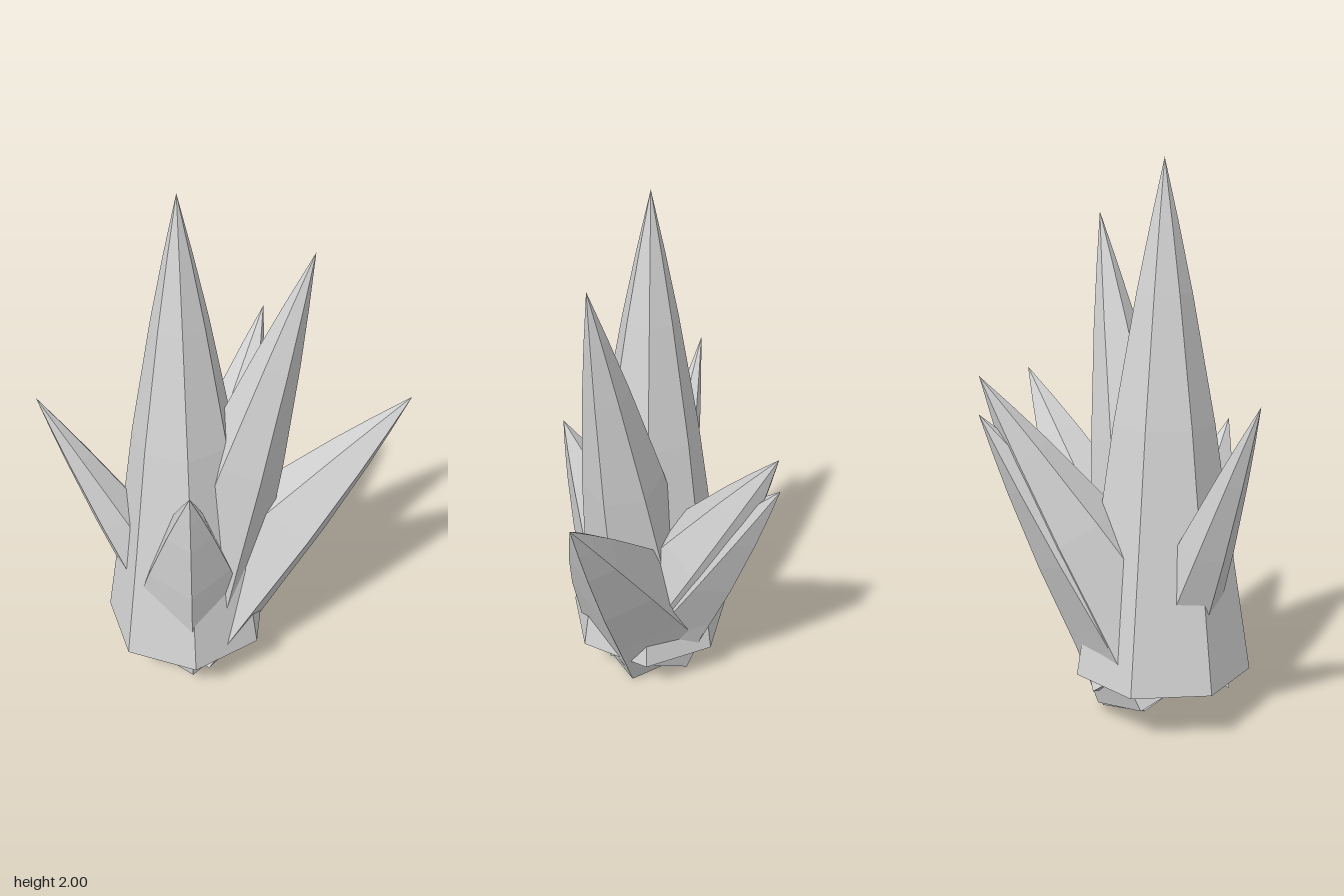
import * as THREE from 'three';

// Radius along a crystal: [fraction of length, fraction of base radius]
const PROFILE = [[0, 0], [0, 1], [0.25, 0.78], [0.5, 0.57], [0.75, 0.31], [0.88, 0.155], [1, 0]];
const ROOT = new THREE.Vector3(-0.137, 0.177, -0.07);

// Faceted spike growing from the shared root; one edge faces the lean direction
function crystal(name, tip, radius, sides, material, facing) {
  const axis = new THREE.Vector3(...tip).sub(ROOT);
  const length = axis.length();
  axis.normalize();
  const lean = facing ? new THREE.Vector3(...facing) : new THREE.Vector3(axis.x, 0, axis.z);
  const out = lean.addScaledVector(axis, -lean.dot(axis)).normalize();
  const side = new THREE.Vector3().crossVectors(axis, out);

  const points = PROFILE.map(([t, r]) => new THREE.Vector2(r * radius, t * length));
  const geometry = new THREE.LatheGeometry(points, sides);
  geometry.applyMatrix4(new THREE.Matrix4().makeBasis(side, axis, out).setPosition(ROOT));

  const mesh = new THREE.Mesh(geometry, material);
  mesh.name = name;
  return mesh;
}

export function createModel() {
  const group = new THREE.Group();
  group.name = 'crystalCluster';
  const stone = new THREE.MeshStandardMaterial({ color: 0xd4d4d4 });
  stone.name = 'paleGreyCrystal';
  stone.flatShading = true;

  group.add(
    // Upright centre spike
    crystal('mainCrystal', [-0.137, 2, -0.07], 0.325, 7, stone, [0.304, 0, 0.953]),
    // Leaning spikes around it
    crystal('tallFrontCrystal', [0.168, 1.82, 0.242], 0.26, 6, stone),
    crystal('frontLeftCrystal', [0.517, 1.2, 0.415], 0.285, 5, stone),
    crystal('backLeftCrystal', [0.457, 1.27, -0.31], 0.275, 6, stone),
    crystal('backLeftTwinCrystal', [0.457, 1.14, -0.325], 0.265, 6, stone),
    crystal('backRightCrystal', [-0.517, 1.22, -0.418], 0.17, 6, stone),
    crystal('frontRightCrystal', [-0.335, 1.06, 0.21], 0.28, 5, stone),
  );
  return group;
}
